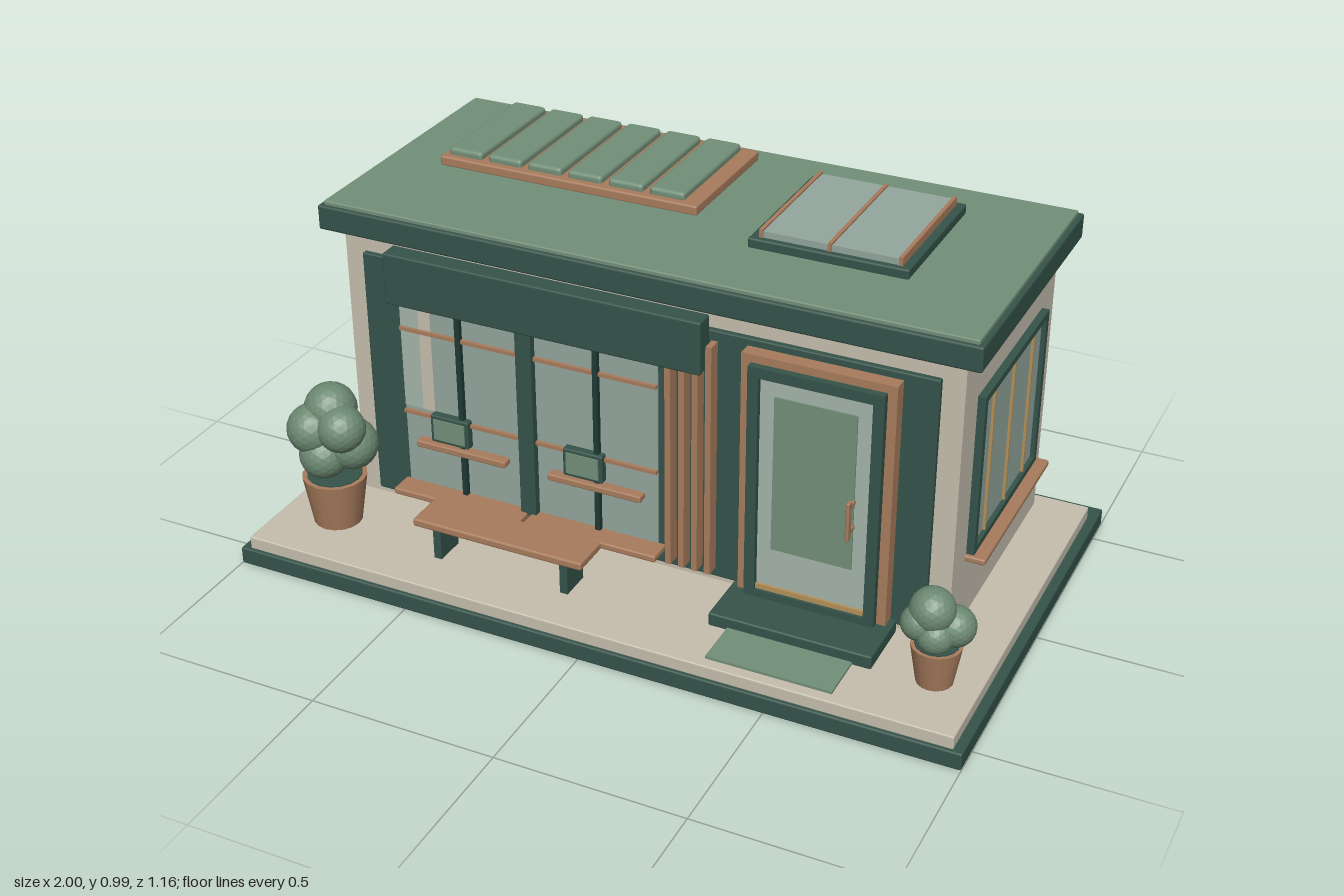
import * as THREE from 'three';
import { RoundedBoxGeometry } from 'three/addons/geometries/RoundedBoxGeometry.js';

export function createModel() {
  const root = new THREE.Group();
  root.name = 'shop';
  const mat = (name, color, flat = false) => {
    const m = new THREE.MeshStandardMaterial({ color, flatShading: flat });
    m.name = name;
    return m;
  };
  const dark = mat('darkGreen', 0x35534a);
  const cream = mat('cream', 0xc6bfae);
  const copper = mat('copper', 0xa87c5d);
  const sage = mat('sage', 0x728f78);
  const leaf = mat('leaf', 0x6d8a73, true);
  const glass = mat('glass', 0x93a79d);
  const paleGlass = mat('paleGlass', 0xa6b5ab);
  const gold = mat('gold', 0xb4925a);
  const black = mat('mullionGreen', 0x203a34);

  // Box given by its limits on each axis, with an optional softened edge
  const box = (name, m, x0, x1, y0, y1, z0, z1, r = 0) => {
    const s = [x1 - x0, y1 - y0, z1 - z0];
    const g = r ? new RoundedBoxGeometry(...s, 2, r) : new THREE.BoxGeometry(...s);
    const mesh = new THREE.Mesh(g, m);
    mesh.name = name;
    mesh.position.set((x0 + x1) / 2, (y0 + y1) / 2, (z0 + z1) / 2);
    root.add(mesh);
    return mesh;
  };
  // Four bars in the xy plane around an opening
  const frame = (name, m, x0, x1, y0, y1, z0, z1, w) => {
    box(name + 'Left', m, x0, x0 + w, y0, y1, z0, z1);
    box(name + 'Right', m, x1 - w, x1, y0, y1, z0, z1);
    box(name + 'Top', m, x0 + w, x1 - w, y1 - w, y1, z0, z1);
    box(name + 'Bottom', m, x0 + w, x1 - w, y0, y0 + w, z0, z1);
  };

  // Base, walls and roof
  box('plinth', dark, -1, 1, 0, 0.048, -0.58, 0.58, 0.005);
  box('terrace', cream, -0.975, 0.975, 0.046, 0.083, -0.52, 0.57, 0.004);
  box('walls', cream, -0.837, 0.837, 0.08, 0.87, -0.475, 0.222);
  box('roofFascia', dark, -0.885, 0.885, 0.865, 0.932, -0.522, 0.268, 0.006);
  box('roofTop', sage, -0.872, 0.872, 0.928, 0.943, -0.51, 0.257, 0.004);

  // Roof panels in a copper tray
  box('panelTray', copper, -0.72, 0.02, 0.94, 0.968, -0.455, -0.065, 0.006);
  for (let i = 0; i < 6; i++) {
    const x = -0.655 + i * 0.1165;
    box('roofPanel', sage, x - 0.049, x + 0.049, 0.96, 0.987, -0.44, -0.085, 0.01);
  }

  // Skylight
  box('skylightCurb', dark, 0.207, 0.622, 0.94, 0.968, -0.373, 0.042, 0.005);
  box('skylightGlass', glass, 0.232, 0.6, 0.966, 0.985, -0.352, 0.025);
  for (const x of [0.236, 0.415, 0.596]) {
    box('skylightBar', copper, x - 0.005, x + 0.005, 0.966, 0.99, -0.355, 0.028);
  }

  // Shopfront backing and window glass
  box('shopfront', dark, -0.78, 0.78, 0.103, 0.807, 0.215, 0.237, 0.004);
  box('windowGlass', glass, -0.675, 0.06, 0.155, 0.75, 0.236, 0.242);
  box('curtain', cream, -0.62, -0.585, 0.39, 0.75, 0.241, 0.244);
  box('windowSheen', paleGlass, -0.675, -0.62, 0.39, 0.75, 0.241, 0.244);
  box('windowPost', dark, -0.328, -0.283, 0.155, 0.75, 0.237, 0.262);
  for (const x of [-0.5, -0.107]) {
    box('mullion', black, x - 0.007, x + 0.007, 0.155, 0.75, 0.237, 0.256);
  }
  for (const y of [0.62, 0.375]) {
    box('glazingBar', copper, -0.675, 0.06, y - 0.005, y + 0.005, 0.238, 0.252);
  }
  for (const x of [-0.5, -0.11]) {
    box('windowSill', copper, x - 0.19, x + 0.19, 0.143, 0.162, 0.237, 0.305, 0.005);
    box('displayShelf', copper, x - 0.133, x + 0.133, 0.285, 0.304, 0.238, 0.27, 0.004);
    const bx = x - 0.033;
    box('displayBox', dark, bx - 0.056, bx + 0.056, 0.31, 0.39, 0.238, 0.264, 0.004);
    box('displayBoxFace', sage, bx - 0.046, bx + 0.046, 0.32, 0.38, 0.262, 0.267);
  }

  // Blank canopy board and vertical slats
  box('canopyBoard', dark, -0.686, 0.196, 0.705, 0.848, 0.235, 0.29, 0.005);
  for (const x of [0.102, 0.139, 0.175, 0.211]) {
    box('slat', copper, x - 0.008, x + 0.008, 0.13, 0.78, 0.235, 0.274);
  }

  // Door
  frame('doorTrim', copper, 0.297, 0.692, 0.083, 0.788, 0.23, 0.275, 0.024);
  frame('doorFrame', dark, 0.322, 0.668, 0.11, 0.767, 0.235, 0.295, 0.028);
  box('doorGlass', paleGlass, 0.345, 0.645, 0.12, 0.75, 0.236, 0.28);
  box('doorPanel', sage, 0.388, 0.6, 0.262, 0.692, 0.279, 0.284);
  box('kickPlate', gold, 0.35, 0.64, 0.12, 0.152, 0.279, 0.287);
  box('doorHandle', copper, 0.594, 0.604, 0.365, 0.475, 0.305, 0.325, 0.004);
  for (const y of [0.385, 0.455]) {
    box('handleMount', copper, 0.595, 0.603, y - 0.005, y + 0.005, 0.279, 0.31);
  }
  box('doorStep', dark, 0.278, 0.708, 0.08, 0.118, 0.235, 0.41, 0.005);
  box('doorMat', sage, 0.33, 0.66, 0.08, 0.09, 0.40, 0.54);

  // Side window on the model's left wall
  box('sideWindowGlass', glass, 0.83, 0.845, 0.29, 0.715, -0.37, 0.115);
  for (const [z0, z1] of [[0.103, 0.123], [-0.375, -0.355]]) {
    box('sideFrameUpright', dark, 0.83, 0.857, 0.28, 0.722, z0, z1);
  }
  for (const y of [0.28, 0.704]) {
    box('sideFrameRail', dark, 0.83, 0.857, y, y + 0.018, -0.36, 0.11);
  }
  for (const z of [0.025, -0.128, -0.277]) {
    box('sideWindowBar', gold, 0.84, 0.852, 0.295, 0.71, z - 0.004, z + 0.004);
  }
  box('sideSill', copper, 0.83, 0.889, 0.264, 0.281, -0.388, 0.134, 0.005);

  // Bench
  box('benchSeat', copper, -0.537, -0.05, 0.173, 0.196, 0.345, 0.458, 0.006);
  for (const x of [-0.475, -0.107]) {
    box('benchLeg', dark, x - 0.011, x + 0.011, 0.08, 0.175, 0.36, 0.445);
  }

  // Potted shrubs: pot, rim, soil and ball-shaped leaves
  const shrub = (name, x, z, rTop, rBottom, top, balls) => {
    const plant = new THREE.Group();
    plant.name = name;
    const h = top - 0.083;
    const add = (part, g, m, px, py, pz) => {
      const mesh = new THREE.Mesh(g, m);
      mesh.name = part;
      mesh.position.set(px, py, pz);
      plant.add(mesh);
    };
    add('pot', new THREE.CylinderGeometry(rTop, rBottom, h, 16), copper, x, 0.083 + h / 2, z);
    add('soil', new THREE.CylinderGeometry(rTop * 0.85, rTop * 0.85, 0.006, 16), dark, x, top, z);
    for (const [bx, by, bz, r] of balls) {
      add('leafBall', new THREE.IcosahedronGeometry(r, 3), leaf, bx, by, bz);
    }
    root.add(plant);
  };
  shrub('largeShrub', -0.815, 0.39, 0.086, 0.064, 0.222, [
    [-0.83, 0.402, 0.362, 0.07],
    [-0.862, 0.355, 0.405, 0.068],
    [-0.775, 0.372, 0.4, 0.064],
    [-0.77, 0.312, 0.365, 0.07],
    [-0.832, 0.285, 0.405, 0.066],
  ]);
  shrub('smallShrub', 0.86, 0.382, 0.064, 0.046, 0.19, [
    [0.845, 0.285, 0.385, 0.057],
    [0.818, 0.25, 0.4, 0.045],
    [0.895, 0.237, 0.36, 0.052],
    [0.86, 0.225, 0.4, 0.047],
  ]);

  return root;
}
